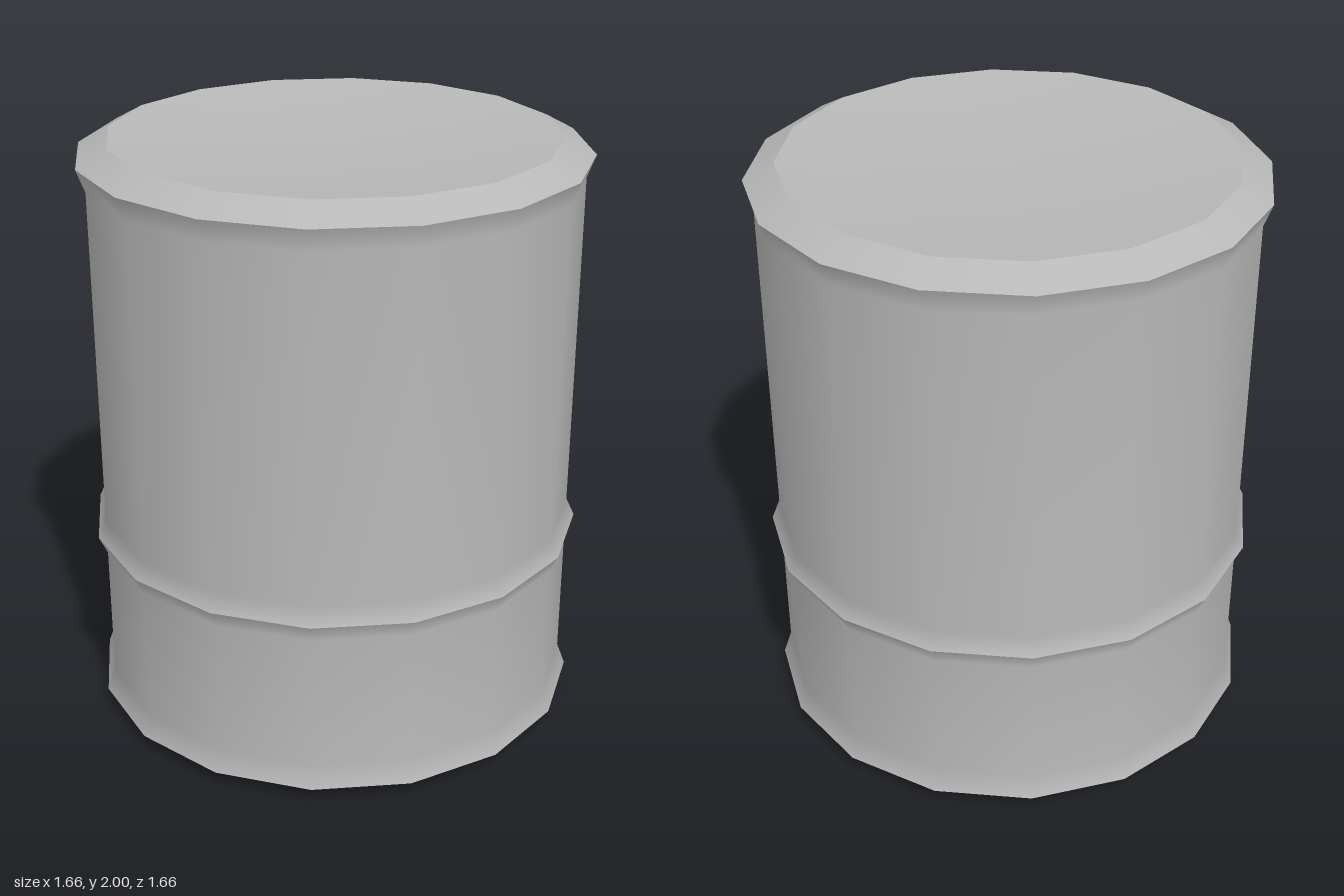
import * as THREE from 'three';

const SIDES = 16;
const TURN = THREE.MathUtils.degToRad(6.2);
const BODY = 0.808, RIDGE = 0.836, END = 0.735;

export function createModel() {
  const barrel = new THREE.Group();
  barrel.name = 'barrel';
  const grey = new THREE.MeshStandardMaterial({ color: 0xb8b8b8 });
  grey.name = 'grey metal';

  // Each profile is [radius, height], running so that its faces look outward;
  // separate profiles meet in a sharp edge.
  const band = (name, profile) => {
    const points = profile.map(([r, y]) => new THREE.Vector2(r, y));
    const mesh = new THREE.Mesh(new THREE.LatheGeometry(points, SIDES, TURN), grey);
    mesh.name = name;
    barrel.add(mesh);
  };

  band('bottom', [[0, 0], [END, 0]]);
  band('bottomBevel', [[END, 0], [RIDGE, 0.055]]);
  band('lowerWall', [[RIDGE, 0.055], [BODY, 0.13], [BODY, 0.6], [RIDGE, 0.66]]);
  band('upperWall', [[RIDGE, 0.66], [BODY, 0.72], [BODY, 1.87], [RIDGE, 1.945]]);
  band('topBevel', [[RIDGE, 1.945], [END, 2]]);

  // Lid, slightly dished
  band('lid', [[END, 2], [0.5, 1.975], [0.25, 1.962], [0, 1.958]]);

  return barrel;
}
